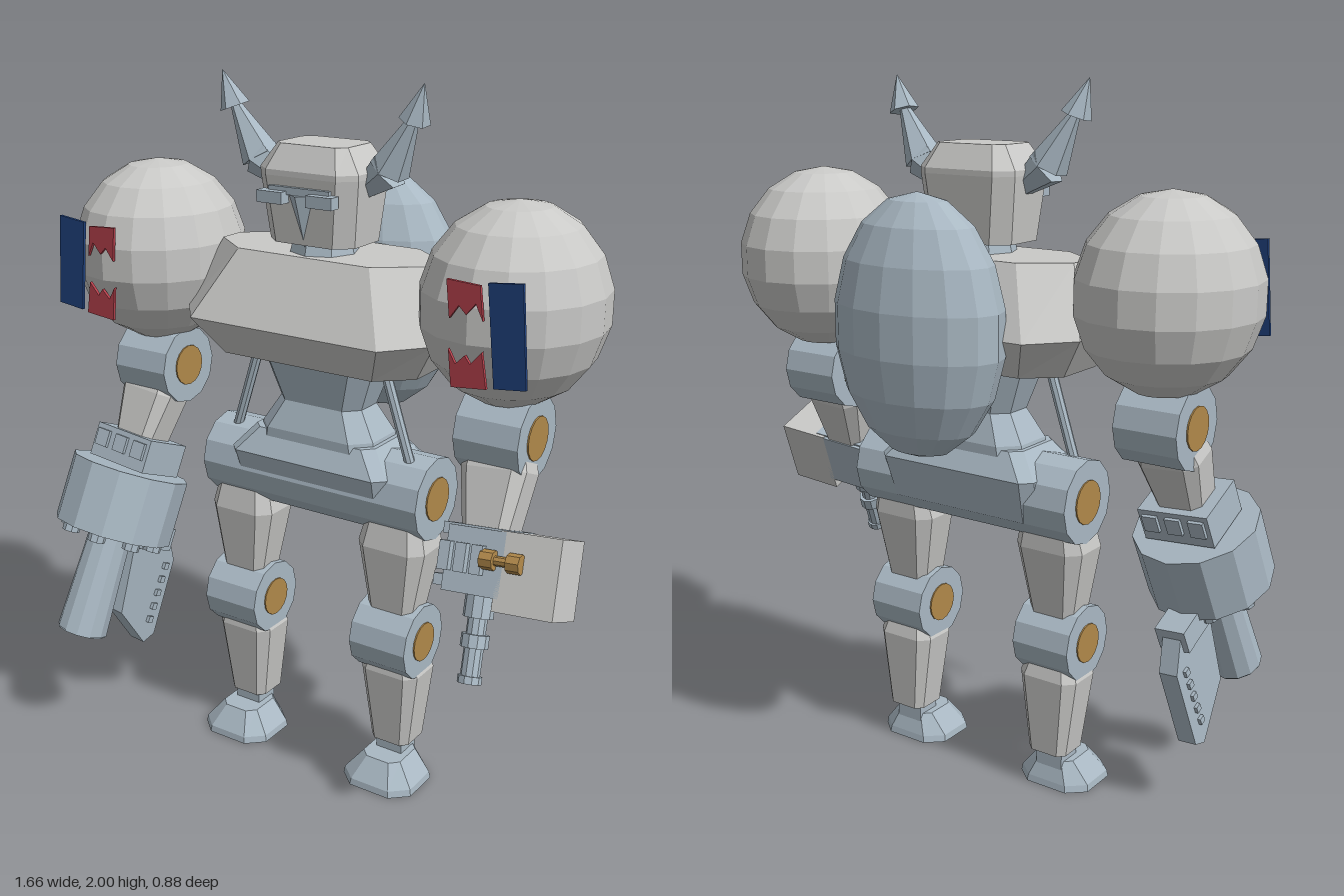
import * as THREE from 'three';

const mat = (name, color) => Object.assign(new THREE.MeshStandardMaterial({ color }), { name });

export function createModel() {
  const light = mat('light grey armour', 0xc9c9c7);
  const steel = mat('blue grey steel', 0xa9b8c3);
  const gold = mat('brass', 0xb0884a);
  const red = mat('red paint', 0xb5404c);
  const blue = mat('blue paint', 0x20427f);

  // Adds a mesh with faceted normals
  function add(parent, name, geo, material, x = 0, y = 0, z = 0) {
    const g = geo.index ? geo.toNonIndexed() : geo;
    g.computeVertexNormals();
    const m = new THREE.Mesh(g, material);
    m.name = name;
    m.position.set(x, y, z);
    parent.add(m);
    return m;
  }
  function group(parent, name, x = 0, y = 0, z = 0) {
    const g = new THREE.Group();
    g.name = name;
    g.position.set(x, y, z);
    parent.add(g);
    return g;
  }
  const box = (w, h, d) => new THREE.BoxGeometry(w, h, d);

  // Stack of chamfered rectangles, bottom to top: [y, halfX, halfZ, chamferX, chamferZ, centreZ]
  function loft(rings) {
    const loops = rings.map(([y, hx, hz, cx, cz = cx, oz = 0]) => [
      [cx - hx, hz], [hx - cx, hz], [hx, hz - cz], [hx, cz - hz],
      [hx - cx, -hz], [cx - hx, -hz], [-hx, cz - hz], [-hx, hz - cz],
    ].map(([x, z]) => [x, y, z + oz]));
    const v = [];
    const tri = (...p) => p.forEach((q) => v.push(...q));
    for (let k = 0; k + 1 < loops.length; k++) {
      for (let i = 0; i < 8; i++) {
        const j = (i + 1) % 8, a = loops[k], b = loops[k + 1];
        tri(a[i], a[j], b[j]);
        tri(a[i], b[j], b[i]);
      }
    }
    const lo = loops[0], hi = loops[loops.length - 1];
    for (let i = 1; i < 7; i++) {
      tri(hi[0], hi[i], hi[i + 1]);
      tri(lo[0], lo[i + 1], lo[i]);
    }
    const g = new THREE.BufferGeometry();
    g.setAttribute('position', new THREE.Float32BufferAttribute(v, 3));
    return g;
  }

  // Tapered rod between two points
  function rod(parent, name, a, b, ra, rb, sides, material) {
    const A = new THREE.Vector3(...a), B = new THREE.Vector3(...b);
    const d = B.clone().sub(A);
    const m = add(parent, name, new THREE.CylinderGeometry(rb, ra, d.length(), sides), material);
    m.position.copy(A).addScaledVector(d, 0.5);
    m.quaternion.setFromUnitVectors(new THREE.Vector3(0, 1, 0), d.normalize());
    return m;
  }

  // Sideways joint drum with a brass cap on each end
  function joint(parent, name, half, r, x, y, z) {
    const g = group(parent, name, x, y, z);
    rod(g, 'drum', [-half, 0, 0], [half, 0, 0], r, r, 12, steel);
    rod(g, 'caps', [-half - 0.004, 0, 0], [half + 0.004, 0, 0], r * 0.52, r * 0.52, 16, gold);
    return g;
  }

  function ball(parent, name, material, c, r) {
    const m = add(parent, name, new THREE.SphereGeometry(1, 16, 9).scale(...r), material, ...c);
    return m;
  }

  function plate(points, depth) {
    const s = new THREE.Shape(points.map((p) => new THREE.Vector2(...p)));
    return new THREE.ExtrudeGeometry(s, { depth, bevelEnabled: false });
  }

  const model = new THREE.Group();
  model.name = 'walkerRobot';
  const body = group(model, 'body', -0.007);

  // Torso
  add(body, 'chest', loft([
    [1.245, 0.33, 0.16, 0.09, 0.08], [1.355, 0.4, 0.237, 0.1, 0.12], [1.54, 0.33, 0.13, 0.12, 0.09],
  ]), light);
  add(body, 'waist', loft([
    [1.0, 0.19, 0.11, 0.05], [1.03, 0.185, 0.11, 0.05], [1.11, 0.135, 0.08, 0.04], [1.26, 0.19, 0.11, 0.05],
  ]), steel);
  add(body, 'pelvis', loft([
    [0.825, 0.25, 0.1, 0.03], [0.95, 0.26, 0.14, 0.03], [1.02, 0.2, 0.1, 0.03],
  ]), steel);
  joint(body, 'hipJoint', 0.36, 0.12, 0, 0.885, 0.005);
  ball(body, 'backPod', steel, [0, 1.37, -0.27], [0.258, 0.352, 0.162]);

  // Head
  add(body, 'neck', new THREE.CylinderGeometry(0.08, 0.1, 0.08, 8), steel, 0, 1.56, 0.02);
  add(body, 'head', loft([
    [1.57, 0.135, 0.1, 0.045, 0.04, 0.02], [1.75, 0.155, 0.115, 0.045, 0.04, 0.02],
    [1.765, 0.155, 0.115, 0.045, 0.04, 0.02], [1.83, 0.11, 0.08, 0.025, 0.025, 0.02],
  ]), light);
  const nose = new THREE.ConeGeometry(0.06, 0.14, 4).rotateX(Math.PI).scale(1, 1, 0.75);
  add(body, 'facePlate', nose, steel, 0, 1.635, 0.115);
  add(body, 'browBar', box(0.19, 0.02, 0.02), steel, 0, 1.715, 0.135);

  for (const s of [-1, 1]) {
    add(body, 'eye', box(0.08, 0.032, 0.035), steel, s * 0.078, 1.698, 0.15);
    // Horns
    const horn = group(body, 'horn');
    rod(horn, 'root', [s * 0.13, 1.72, 0.02], [s * 0.205, 1.775, 0.025], 0.03, 0.055, 6, steel);
    rod(horn, 'stem', [s * 0.205, 1.775, 0.025], [s * 0.285, 1.92, 0.035], 0.055, 0.012, 6, steel);
    rod(horn, 'tip', [s * 0.282, 1.905, 0.035], [s * 0.314, 2.0, 0.045], 0.042, 0.001, 6, steel);
    // Waist pistons
    rod(body, 'piston', [s * 0.2, 1.27, 0.04], [s * 0.295, 0.98, 0.04], 0.015, 0.015, 8, steel);

    // Legs
    const leg = group(body, 'leg', s * 0.258);
    add(leg, 'thigh', loft([
      [0.52, 0.066, 0.058, 0.02, 0.02, 0.035], [0.74, 0.107, 0.085, 0.035, 0.035, 0.025],
      [0.85, 0.08, 0.07, 0.025, 0.025, 0.015],
    ]), light);
    joint(leg, 'knee', 0.09, 0.11, 0, 0.455, 0.04);
    add(leg, 'shin', loft([
      [0.115, 0.062, 0.06, 0.02, 0.02, 0.022], [0.35, 0.093, 0.077, 0.03, 0.03, 0.027],
      [0.4, 0.075, 0.065, 0.025, 0.025, 0.03],
    ]), light);
    add(leg, 'ankle', box(0.085, 0.07, 0.08), steel, 0, 0.095, 0.03);
    add(leg, 'foot', loft([
      [0, 0.115, 0.103, 0.05, 0.045, 0.078], [0.02, 0.112, 0.1, 0.05, 0.045, 0.078],
      [0.082, 0.062, 0.068, 0.025, 0.025, 0.065],
    ]), steel);

    // Shoulder ball and its painted plates
    const shoulder = group(body, 'shoulder', s * 0.576, 1.475, 0.02);
    ball(shoulder, 'shoulderBall', light, [0, 0, 0], [0.244, 0.264, 0.262]);
    const mirror = (pts) => (s > 0 ? pts : pts.map(([x, y]) => [-x, y]).reverse());
    const paint = (name, pts, material) =>
      add(shoulder, name, plate(mirror(pts), 0.009), material, 0, 0, 0.255);
    paint('blueStripe', [[0.08, -0.14], [0.165, -0.13], [0.145, 0.124], [0.055, 0.114]], blue);
    paint('redMarkUpper', [[-0.055, 0.11], [-0.045, 0.015], [-0.02, 0.05], [0, 0.03], [0.025, 0.06],
      [0.045, 0.02], [0.035, 0.105]].reverse(), red);
    paint('redMarkLower', [[-0.035, -0.155], [0.06, -0.145], [0.045, -0.055], [0.015, -0.09],
      [0, -0.07], [-0.025, -0.095], [-0.045, -0.06]], red);

    // Arm, hinged at the elbow and swung forward
    const arm = group(body, s > 0 ? 'leftArm' : 'rightArm', s * 0.571, 1.135, 0.035);
    joint(arm, 'elbow', 0.092, 0.115, 0, 0, 0);
    const fore = group(arm, 'forearm');
    fore.rotation.set(-0.4, 0, s * 0.09);
    add(fore, 'forearmShell', loft([
      [-0.28, 0.062, 0.06, 0.02], [-0.1, 0.093, 0.07, 0.03], [-0.03, 0.075, 0.06, 0.025],
    ]), light);
    if (s > 0) buildBlaster(fore);
    else buildCannon(fore);
  }

  // Right arm: drum cannon with a blade beneath
  function buildCannon(arm) {
    add(arm, 'cannonMount', box(0.21, 0.1, 0.17), steel, 0, -0.285, 0);
    for (const x of [-0.07, 0, 0.07]) add(arm, 'mountRib', box(0.045, 0.05, 0.19), steel, x, -0.275, 0);
    add(arm, 'cannonDrum', new THREE.CylinderGeometry(0.178, 0.178, 0.2, 12), steel, 0, -0.44, 0.01);
    for (let i = 0; i < 8; i++) {
      const a = ((i + 0.5) / 8) * Math.PI * 2;
      add(arm, 'drumBolt', new THREE.CylinderGeometry(0.026, 0.026, 0.03, 8), steel,
        Math.sin(a) * 0.135, -0.55, 0.01 + Math.cos(a) * 0.135);
    }
    add(arm, 'cannonBarrel', new THREE.CylinderGeometry(0.064, 0.076, 0.34, 12), steel, 0, -0.69, 0.015);
    add(arm, 'cannonMuzzle', new THREE.CylinderGeometry(0.072, 0.072, 0.03, 12), steel, 0, -0.85, 0.015);
    const outline = [[-0.075, -0.53], [-0.115, -0.8], [-0.27, -0.9], [-0.31, -0.87], [-0.3, -0.62], [-0.23, -0.53]];
    // Shape is drawn in (-z, y), then turned to stand along the arm
    const blade = plate(outline.map(([z, y]) => [-z, y]), 0.055).rotateY(Math.PI / 2);
    add(arm, 'blade', blade, steel, -0.028, 0, 0);
    add(arm, 'bladeMount', box(0.09, 0.07, 0.14), steel, 0, -0.55, -0.17);
    for (let i = 0; i < 5; i++) {
      add(arm, 'bladeStud', box(0.075, 0.02, 0.02), steel, 0, -0.64 - i * 0.045, -0.26);
    }
  }

  // Left arm: small blaster with a side magazine
  function buildBlaster(arm) {
    add(arm, 'blasterBody', box(0.16, 0.17, 0.15), steel, 0, -0.34, 0.01);
    add(arm, 'topRail', box(0.2, 0.03, 0.13), steel, 0, -0.265, 0.01);
    add(arm, 'sideRail', box(0.2, 0.03, 0.13), steel, -0.01, -0.4, 0.01);
    for (const x of [-0.075, -0.03, 0.015]) {
      add(arm, 'frontRib', box(0.03, 0.075, 0.03), steel, x, -0.335, 0.092);
    }
    add(arm, 'magazine', box(0.165, 0.205, 0.15), light, 0.148, -0.355, 0.01);
    rod(arm, 'feedLink', [0.03, -0.33, 0.095], [0.13, -0.33, 0.095], 0.013, 0.013, 8, gold);
    for (const x of [0.045, 0.118]) {
      rod(arm, 'feedCap', [x - 0.018, -0.33, 0.095], [x + 0.018, -0.33, 0.095], 0.026, 0.026, 8, gold);
    }
    add(arm, 'blasterBarrel', new THREE.CylinderGeometry(0.026, 0.026, 0.24, 10), steel, 0, -0.53, 0.01);
    add(arm, 'barrelSleeve', new THREE.CylinderGeometry(0.04, 0.04, 0.07, 10), steel, 0, -0.45, 0.01);
    add(arm, 'barrelCollar', new THREE.CylinderGeometry(0.037, 0.037, 0.035, 10), steel, 0, -0.545, 0.01);
    add(arm, 'blasterMuzzle', new THREE.CylinderGeometry(0.032, 0.032, 0.02, 10), steel, 0, -0.645, 0.01);
  }

  return model;
}
